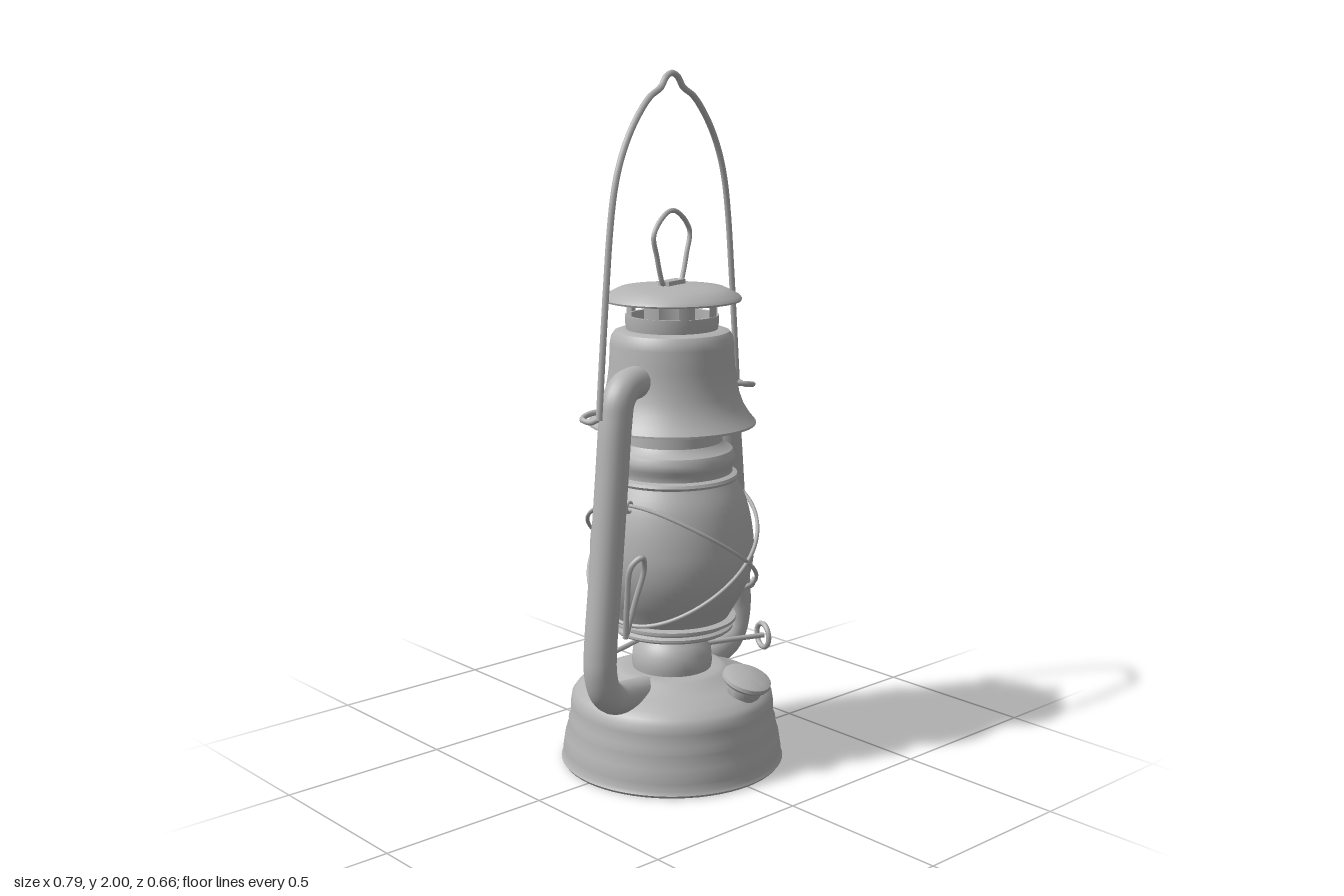
import * as THREE from 'three';
import { toCreasedNormals } from 'three/addons/utils/BufferGeometryUtils.js';

export function createModel() {
  const metal = new THREE.MeshStandardMaterial({ color: 0xb4b4b4, side: THREE.DoubleSide });
  metal.name = 'grey metal';

  const lantern = new THREE.Group();
  lantern.name = 'lantern';
  // Frame parts (arms, bail, cage) sit turned about the vertical axis.
  const frame = new THREE.Group();
  frame.name = 'frame';
  frame.rotation.y = 0.255;
  lantern.add(frame);

  const add = (parent, name, geometry) => {
    const mesh = new THREE.Mesh(geometry, metal);
    mesh.name = name;
    parent.add(mesh);
    return mesh;
  };
  const lathe = (parent, name, points, segments = 64) =>
    add(parent, name, toCreasedNormals(
      new THREE.LatheGeometry(points.map(p => new THREE.Vector2(...p)), segments), 0.6));
  const wire = (parent, name, points, radius = 0.007, closed = false, sides = 8) => {
    const curve = new THREE.CatmullRomCurve3(points.map(p => new THREE.Vector3(...p)), closed);
    return add(parent, name, new THREE.TubeGeometry(curve, points.length * 8, radius, sides, closed));
  };

  // Fuel tank with stepped wall and domed shoulder
  lathe(lantern, 'fuelTank', [
    [0, 0], [0.322, 0], [0.328, 0.008], [0.322, 0.018], [0.322, 0.04], [0.316, 0.08],
    [0.305, 0.115], [0.306, 0.125], [0.299, 0.14], [0.299, 0.175], [0.295, 0.2],
    [0.284, 0.215], [0.26, 0.232], [0.22, 0.25], [0.18, 0.265], [0.16, 0.278],
    [0.145, 0.283], [0.115, 0.283]]);

  // Burner neck
  lathe(lantern, 'burner', [
    [0.115, 0.28], [0.118, 0.3], [0.115, 0.335], [0.1, 0.36], [0.087, 0.375], [0.087, 0.41]], 48);

  // Two-lipped plate carrying the globe
  lathe(lantern, 'globePlate', [
    [0.08, 0.4], [0.17, 0.4], [0.178, 0.406], [0.178, 0.413], [0.168, 0.419],
    [0.17, 0.425], [0.187, 0.43], [0.187, 0.438], [0.165, 0.442], [0.08, 0.442]]);

  // Glass globe
  const globe = [
    [0.165, 0.44], [0.185, 0.475], [0.21, 0.52], [0.23, 0.575], [0.238, 0.63],
    [0.236, 0.68], [0.227, 0.74], [0.21, 0.8], [0.185, 0.85]];
  const smooth = new THREE.SplineCurve(globe.map(p => new THREE.Vector2(...p))).getPoints(28);
  lathe(lantern, 'globe', smooth.map(p => [p.x, p.y]));

  // Collar and chimney above the globe
  lathe(lantern, 'collar', [
    [0.17, 0.848], [0.188, 0.851], [0.192, 0.858], [0.188, 0.866], [0.174, 0.871],
    [0.174, 0.888], [0.182, 0.9], [0.182, 0.92], [0.174, 0.937], [0.155, 0.948],
    [0.145, 0.96], [0.143, 1.12]]);

  // Flared hood
  lathe(lantern, 'hood', [
    [0.233, 1.012], [0.24, 1.01], [0.24, 1.016], [0.224, 1.035], [0.205, 1.065],
    [0.192, 1.1], [0.184, 1.14], [0.179, 1.18], [0.177, 1.24], [0.173, 1.262],
    [0.163, 1.276], [0.145, 1.282], [0.125, 1.282]]);

  // Vent ring: lower band, posts, upper band
  lathe(lantern, 'ventLowerBand', [[0.13, 1.28], [0.133, 1.3], [0.133, 1.322], [0.123, 1.322], [0.123, 1.28]]);
  lathe(lantern, 'ventUpperBand', [[0.123, 1.362], [0.133, 1.362], [0.133, 1.38]]);
  for (let i = 0; i < 8; i++) {
    add(lantern, 'ventPost', new THREE.CylinderGeometry(
      0.13, 0.13, 0.044, 6, 1, true, i * Math.PI / 4 + 0.2, 0.36)).position.y = 1.342;
  }

  // Cap with turned-down brim
  lathe(lantern, 'cap', [
    [0.12, 1.374], [0.185, 1.37], [0.196, 1.363], [0.198, 1.368], [0.192, 1.377],
    [0.15, 1.398], [0.1, 1.402], [0.05, 1.406], [0, 1.407]]);

  // Lifting loop on the cap
  wire(frame, 'capLoop', [
    [-0.045, 1.412, 0], [0, 1.41, 0], [0.045, 1.412, 0], [0.06, 1.44, 0], [0.076, 1.49, 0],
    [0.092, 1.545, 0], [0.075, 1.575, 0], [0.03, 1.607, 0], [0, 1.614, 0], [-0.03, 1.607, 0],
    [-0.075, 1.575, 0], [-0.092, 1.545, 0], [-0.076, 1.49, 0], [-0.06, 1.44, 0]], 0.007, true);
  const saddle = add(frame, 'capLoopSaddle', new THREE.BoxGeometry(0.085, 0.018, 0.035));
  saddle.position.y = 1.41;

  // Carrying bail with a peak in the middle
  const halfBail = [
    [0.357, 1.075], [0.342, 1.22], [0.32, 1.42], [0.3, 1.58], [0.28, 1.68], [0.255, 1.75],
    [0.215, 1.82], [0.165, 1.88], [0.11, 1.927], [0.055, 1.953], [0.03, 1.98]];
  wire(frame, 'bail', [
    ...halfBail.map(([x, y]) => [-x, y, 0]), [0, 1.991, 0],
    ...halfBail.slice().reverse().map(([x, y]) => [x, y, 0])], 0.009);

  for (const s of [-1, 1]) {
    // Hollow side arm from hood to tank
    wire(frame, 'sideArm', [
      [s * 0.14, 1.15, 0], [s * 0.19, 1.153, 0], [s * 0.235, 1.145, 0], [s * 0.267, 1.115, 0],
      [s * 0.28, 1.06, 0], [s * 0.3, 0.9, 0], [s * 0.332, 0.64, 0], [s * 0.36, 0.42, 0],
      [s * 0.36, 0.36, 0], [s * 0.342, 0.305, 0], [s * 0.305, 0.272, 0], [s * 0.25, 0.258, 0],
      [s * 0.14, 0.24, 0]], 0.046, false, 20);
    // Hook where the bail hangs on the arm
    wire(frame, 'bailHook', [
      [s * 0.357, 1.08, 0], [s * 0.362, 1.068, s * 0.025], [s * 0.357, 1.072, s * 0.056],
      [s * 0.32, 1.08, s * 0.06], [s * 0.28, 1.085, s * 0.04]], 0.008);
    // Crossing guard wire: a tilted ring that hugs the globe
    const ring = [];
    for (let i = 0; i < 32; i++) {
      const a = i / 32 * Math.PI * 2;
      const y = 0.635 + s * 0.175 * Math.cos(a);
      const r = 0.255 - 1.3 * (y - 0.64) ** 2;
      ring.push([r * Math.cos(a), y, r * Math.sin(a)]);
    }
    wire(frame, 'globeGuard', ring, 0.006, true, 6);
    // Small eye holding the guard wire
    const eye = add(frame, 'guardEye', new THREE.TorusGeometry(0.014, 0.005, 6, 14));
    eye.position.set(s * 0.217, 0.805, 0);
  }

  // Globe lifting lever and its cross rod
  wire(lantern, 'lifterLever', [
    [0.16, 0.4, -0.03], [0.26, 0.4, -0.035], [0.288, 0.415, -0.035], [0.262, 0.465, -0.035],
    [0.275, 0.486, -0.035], [0.315, 0.483, -0.035], [0.33, 0.452, -0.035],
    [0.36, 0.443, -0.035], [0.375, 0.465, -0.035]], 0.008);
  wire(lantern, 'lifterRod', [[-0.33, 0.393, 0.06], [-0.25, 0.393, 0.045], [-0.15, 0.395, 0.02]], 0.007);

  // Spring clip beside the arm
  wire(lantern, 'sideClip', [
    [-0.29, 0.46, 0.13], [-0.3, 0.58, 0.15], [-0.303, 0.675, 0.17], [-0.277, 0.7, 0.185],
    [-0.256, 0.66, 0.17], [-0.27, 0.57, 0.15], [-0.286, 0.47, 0.13]], 0.008);

  // Wick adjuster: shaft and wire wheel
  wire(lantern, 'wickShaft', [[0.09, 0.33, 0.025], [0.2, 0.328, 0.053], [0.3, 0.325, 0.08]], 0.008);
  const wheel = add(lantern, 'wickWheel', new THREE.TorusGeometry(0.036, 0.008, 8, 28));
  wheel.position.set(0.298, 0.325, 0.079);
  wheel.rotation.y = Math.PI / 2 - 0.26;

  // Filler cap tilted outward on the tank shoulder
  const filler = new THREE.Group();
  filler.name = 'fillerCap';
  filler.position.set(0.063, 0.215, 0.222);
  filler.rotation.set(0.33, 0, -0.06);
  lantern.add(filler);
  lathe(filler, 'fillerNeck', [[0.04, -0.02], [0.043, 0.035], [0.05, 0.04]], 32);
  lathe(filler, 'fillerLid', [
    [0.0, 0.03], [0.05, 0.03], [0.054, 0.048], [0.054, 0.058], [0.067, 0.063], [0.072, 0.071],
    [0.07, 0.081], [0.055, 0.088], [0, 0.091]], 36);

  return lantern;
}
